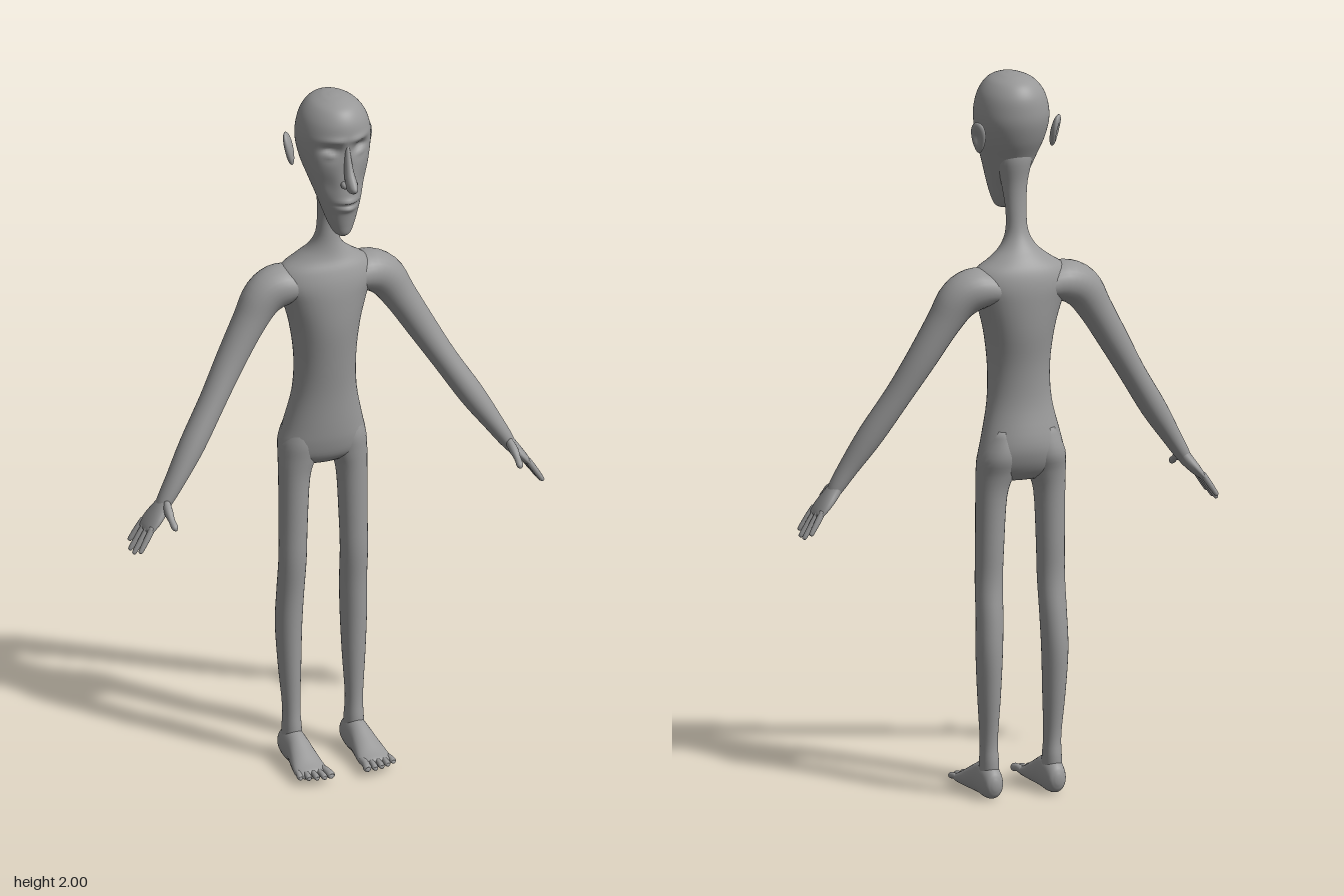
import * as THREE from 'three';

const skin = new THREE.MeshStandardMaterial({ color: 0x999999 });
skin.name = 'grey skin';
const X = new THREE.Vector3(1, 0, 0), Y = new THREE.Vector3(0, 1, 0), Z = new THREE.Vector3(0, 0, 1);
const DOWN = new THREE.Vector3(0, -1, 0);

// Smooth closed loft through rows [x, y, z, radiusAlongRef, otherRadius].
// Rings follow the path unless a fixed axis is given.
function loft(rows, { ref = X, axis = null, sides = 24, steps = 4 } = {}) {
  const path = new THREE.CatmullRomCurve3(rows.map(r => new THREE.Vector3(r[0], r[1], r[2])), false, 'catmullrom', 0.5);
  const size = new THREE.CatmullRomCurve3(rows.map(r => new THREE.Vector3(r[3], r[4], 0)), false, 'catmullrom', 0.5);
  const n = (rows.length - 1) * steps, pos = [], idx = [];
  for (let i = 0; i <= n; i++) {
    const c = path.getPoint(i / n), s = size.getPoint(i / n);
    const t = axis || path.getTangent(i / n);
    const u = ref.clone().addScaledVector(t, -ref.dot(t)).normalize();
    const v = new THREE.Vector3().crossVectors(t, u);
    for (let j = 0; j < sides; j++) {
      const a = j / sides * Math.PI * 2;
      const p = c.clone().addScaledVector(u, Math.cos(a) * s.x).addScaledVector(v, Math.sin(a) * s.y);
      pos.push(p.x, p.y, p.z);
      if (i < n) {
        const k = (j + 1) % sides, p0 = i * sides, p1 = p0 + sides;
        idx.push(p0 + j, p0 + k, p1 + k, p0 + j, p1 + k, p1 + j);
      }
    }
  }
  // end caps
  const first = path.getPoint(0), last = path.getPoint(1), m = (n + 1) * sides;
  pos.push(first.x, first.y, first.z, last.x, last.y, last.z);
  for (let j = 0; j < sides; j++) {
    const k = (j + 1) % sides;
    idx.push(m, k, j, m + 1, n * sides + j, n * sides + k);
  }
  const g = new THREE.BufferGeometry();
  g.setAttribute('position', new THREE.Float32BufferAttribute(pos, 3));
  g.setIndex(idx);
  g.computeVertexNormals();
  return g;
}

// Move every vertex by a rule
function deform(g, rule) {
  const p = g.attributes.position, v = new THREE.Vector3();
  for (let i = 0; i < p.count; i++) {
    rule(v.fromBufferAttribute(p, i));
    p.setXYZ(i, v.x, v.y, v.z);
  }
  g.computeVertexNormals();
  return g;
}

// Rows given as [y, front z, back z, half width]
const bands = list => list.map(([y, f, b, w]) => [0, y, (f + b) / 2, w, (f - b) / 2]);
const bump = (x, y, x0, y0, sx, sy) => Math.exp(-(((x - x0) / sx) ** 2) - (((y - y0) / sy) ** 2));

export function createModel() {
  const model = new THREE.Group();
  model.name = 'figure';
  const add = (name, geometry) => {
    const mesh = new THREE.Mesh(geometry, skin);
    mesh.name = name;
    model.add(mesh);
    return mesh;
  };

  // Torso and neck in one sweep
  add('torsoAndNeck', loft(bands([
    [0.885, -0.04, -0.1, 0.07], [0.91, -0.018, -0.125, 0.118], [0.95, -0.006, -0.144, 0.124],
    [1.0, 0, -0.149, 0.113], [1.1, 0.006, -0.131, 0.091], [1.2, 0.017, -0.132, 0.087],
    [1.3, 0.027, -0.146, 0.099], [1.38, 0.026, -0.15, 0.122], [1.43, 0.02, -0.148, 0.142],
    [1.47, 0.008, -0.138, 0.128], [1.5, -0.006, -0.12, 0.085], [1.53, -0.013, -0.095, 0.05],
    [1.57, -0.015, -0.075, 0.031], [1.63, -0.012, -0.065, 0.029], [1.7, 0.01, -0.062, 0.036],
    [1.77, 0.02, -0.07, 0.05], [1.82, 0, -0.06, 0.04]]), { axis: Y, sides: 40 }));

  // Head with eye sockets, eyelids, lips and hollow cheeks pressed into the front
  const head = loft(bands([
    [1.61, 0.078, 0.05, 0.012], [1.62, 0.088, 0.03, 0.024], [1.645, 0.094, 0.012, 0.036],
    [1.68, 0.101, -0.01, 0.048], [1.72, 0.11, -0.04, 0.06], [1.77, 0.106, -0.065, 0.077],
    [1.82, 0.103, -0.092, 0.093], [1.87, 0.103, -0.109, 0.102], [1.91, 0.106, -0.112, 0.1],
    [1.95, 0.1, -0.106, 0.087], [1.98, 0.08, -0.085, 0.063], [1.995, 0.045, -0.05, 0.033],
    [2.0, 0.008, -0.012, 0.008]]), { axis: Y, sides: 72, steps: 8 });
  add('head', deform(head, v => {
    if (v.z < 0.02) return;
    const x = Math.abs(v.x), y = v.y;
    v.z += -0.022 * bump(x, y, 0.042, 1.872, 0.022, 0.02)
      + 0.014 * bump(x, y, 0.044, 1.862, 0.016, 0.011)
      + 0.006 * bump(x, y, 0.035, 1.905, 0.03, 0.01)
      - 0.007 * bump(x, y, 0.05, 1.77, 0.02, 0.035)
      + 0.007 * bump(x, y, 0, 1.724, 0.026, 0.008)
      + 0.007 * bump(x, y, 0, 1.701, 0.022, 0.008)
      - 0.006 * bump(x, y, 0, 1.713, 0.035, 0.004);
  }));

  // Long pointed nose
  add('nose', loft([
    [0, 1.905, 0.09, 0.005, 0.01], [0, 1.86, 0.096, 0.009, 0.015], [0, 1.82, 0.108, 0.012, 0.019],
    [0, 1.79, 0.125, 0.015, 0.026], [0, 1.775, 0.129, 0.014, 0.029], [0, 1.764, 0.126, 0.01, 0.02],
    [0, 1.76, 0.12, 0.003, 0.006]], { axis: DOWN, sides: 20 }));

  for (const s of [1, -1]) {
    const side = s > 0 ? 'left' : 'right';
    const part = (name, rows, opts) =>
      add(side + name, loft(rows.map(([x, ...rest]) => [x * s, ...rest]), opts));

    const wing = add(side + 'Nostril', new THREE.SphereGeometry(0.011, 14, 10));
    wing.scale.set(0.9, 0.9, 1.3);
    wing.position.set(s * 0.014, 1.778, 0.112);

    // Ear: flattened oval with a hollow outer face
    const ear = add(side + 'Ear', deform(new THREE.SphereGeometry(1, 28, 20), v => {
      const hollow = Math.exp(-(v.y * v.y + v.z * v.z) * 4);
      if (v.x * s > 0) v.x *= 1 - 0.9 * hollow;
      v.z *= 0.85 + 0.25 * v.y;
      v.set(v.x * 0.012, v.y * 0.047, v.z * 0.026);
    }));
    ear.position.set(s * 0.111, 1.838, -0.046);
    ear.rotation.set(-0.15, s * 0.6, s * -0.15);

    // Arm, from inside the shoulder down to the wrist
    part('Arm', [
      [0.05, 1.415, -0.068, 0.064, 0.04], [0.12, 1.425, -0.07, 0.066, 0.056],
      [0.175, 1.4, -0.068, 0.057, 0.057], [0.22, 1.335, -0.062, 0.048, 0.047],
      [0.28, 1.235, -0.05, 0.042, 0.041], [0.34, 1.135, -0.031, 0.039, 0.036],
      [0.41, 1.025, -0.008, 0.037, 0.035], [0.465, 0.94, 0.008, 0.031, 0.027],
      [0.5, 0.885, 0.014, 0.026, 0.021], [0.515, 0.86, 0.016, 0.02, 0.015]], { ref: Z, sides: 28 });

    // Hand: palm, thumb and four fingers
    part('Palm', [
      [0.49, 0.9, 0.012, 0.02, 0.015], [0.51, 0.87, 0.016, 0.032, 0.018],
      [0.535, 0.84, 0.017, 0.043, 0.015], [0.555, 0.817, 0.017, 0.042, 0.01],
      [0.561, 0.809, 0.017, 0.034, 0.005]], { ref: Z });
    part('Thumb', [
      [0.502, 0.885, 0.03, 0.01, 0.012], [0.506, 0.868, 0.055, 0.012, 0.014],
      [0.507, 0.853, 0.08, 0.009, 0.009], [0.506, 0.84, 0.1, 0.009, 0.009],
      [0.505, 0.835, 0.107, 0.003, 0.003]], { sides: 14 });
    for (let i = 0; i < 4; i++) {
      const z0 = -0.015 + i * 0.0215, z1 = -0.024 + i * 0.0275;
      const len = [0.8, 1, 1, 0.85][i];
      const at = (k, r) => [0.55 + 0.049 * k * len, 0.827 - 0.077 * k * len, z0 + (z1 - z0) * k, r, r];
      part('Finger', [at(0, 0.008), at(0.35, 0.0085), at(0.7, 0.0075), at(0.95, 0.006), at(1, 0.002)],
        { ref: Z, sides: 12 });
    }

    // Leg
    part('Leg', [
      [0.058, 1.03, -0.08, 0.035, 0.05], [0.066, 0.96, -0.08, 0.056, 0.063],
      [0.074, 0.905, -0.074, 0.053, 0.053], [0.084, 0.84, -0.071, 0.043, 0.045],
      [0.088, 0.7, -0.069, 0.039, 0.041], [0.09, 0.6, -0.068, 0.038, 0.039],
      [0.092, 0.5, -0.079, 0.037, 0.041], [0.095, 0.4, -0.084, 0.036, 0.042],
      [0.094, 0.28, -0.08, 0.031, 0.036], [0.092, 0.16, -0.073, 0.024, 0.028],
      [0.091, 0.1, -0.072, 0.026, 0.033], [0.091, 0.05, -0.07, 0.028, 0.034]], { axis: DOWN, sides: 28 });

    // Foot with a flat sole, then five toes
    const foot = part('Foot', [
      [0.091, 0.042, -0.124, 0.008, 0.012], [0.091, 0.043, -0.112, 0.025, 0.036],
      [0.091, 0.048, -0.075, 0.033, 0.05], [0.091, 0.046, -0.03, 0.034, 0.047],
      [0.093, 0.034, 0.02, 0.041, 0.034], [0.094, 0.025, 0.06, 0.046, 0.021],
      [0.094, 0.022, 0.085, 0.043, 0.013], [0.094, 0.021, 0.091, 0.036, 0.006]], { axis: Z, sides: 28 });
    deform(foot.geometry, v => { v.y = Math.max(v.y, v.z > -0.06 && v.z < 0.03 ? 0.004 : 0); });
    for (let i = 0; i < 5; i++) {
      const x0 = 0.06 + i * 0.0175, x1 = 0.054 + i * 0.0205, r = i ? 0.0085 : 0.0115;
      const tip = [0.118, 0.122, 0.118, 0.111, 0.1][i];
      part('Toe', [
        [x0, 0.024, 0.06, r, r], [(x0 + x1) / 2, 0.027, tip - 0.028, r * 0.9, r * 0.9],
        [x1, 0.024, tip - 0.008, r, r], [x1, 0.022, tip - 0.002, r * 0.7, r * 0.7],
        [x1, 0.022, tip, r * 0.2, r * 0.2]], { sides: 14 });
    }
  }
  return model;
}
